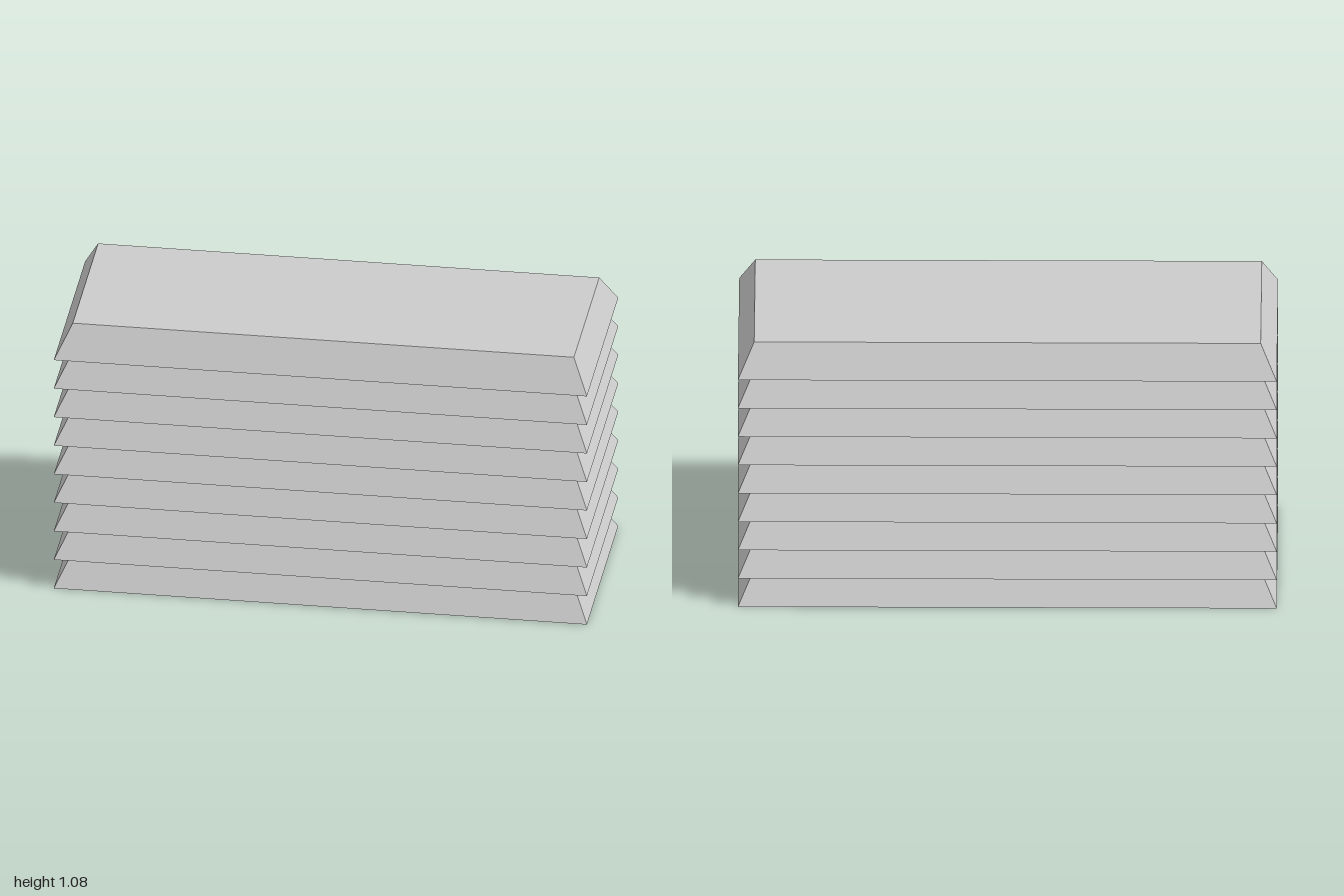
import * as THREE from 'three';

const TIERS = 9;
const HEIGHT = 1.075;
const BOTTOM = { x: 1, z: 0.4 };      // half sizes at the foot of a tier
const TOP = { x: 0.94, z: 0.323 };    // half sizes at the top of a tier

// Box whose top face is drawn in, giving four sloping sides
function taperedSlab(height) {
  const geometry = new THREE.BoxGeometry(BOTTOM.x * 2, height, BOTTOM.z * 2);
  geometry.translate(0, height / 2, 0);
  const pos = geometry.attributes.position;
  for (let i = 0; i < pos.count; i++) {
    if (pos.getY(i) > height / 2) {
      pos.setX(i, Math.sign(pos.getX(i)) * TOP.x);
      pos.setZ(i, Math.sign(pos.getZ(i)) * TOP.z);
    }
  }
  geometry.computeVertexNormals();
  return geometry;
}

export function createModel() {
  const group = new THREE.Group();
  group.name = 'tieredBlock';
  const material = new THREE.MeshStandardMaterial({ color: 0xcccccc, flatShading: true });
  const pitch = HEIGHT / TIERS;
  const slab = taperedSlab(pitch);

  // Identical tiers stacked flush, each overhanging the one below
  for (let i = 0; i < TIERS; i++) {
    const tier = new THREE.Mesh(slab, material);
    tier.name = `tier${i + 1}`;
    tier.position.y = i * pitch;
    group.add(tier);
  }
  return group;
}
